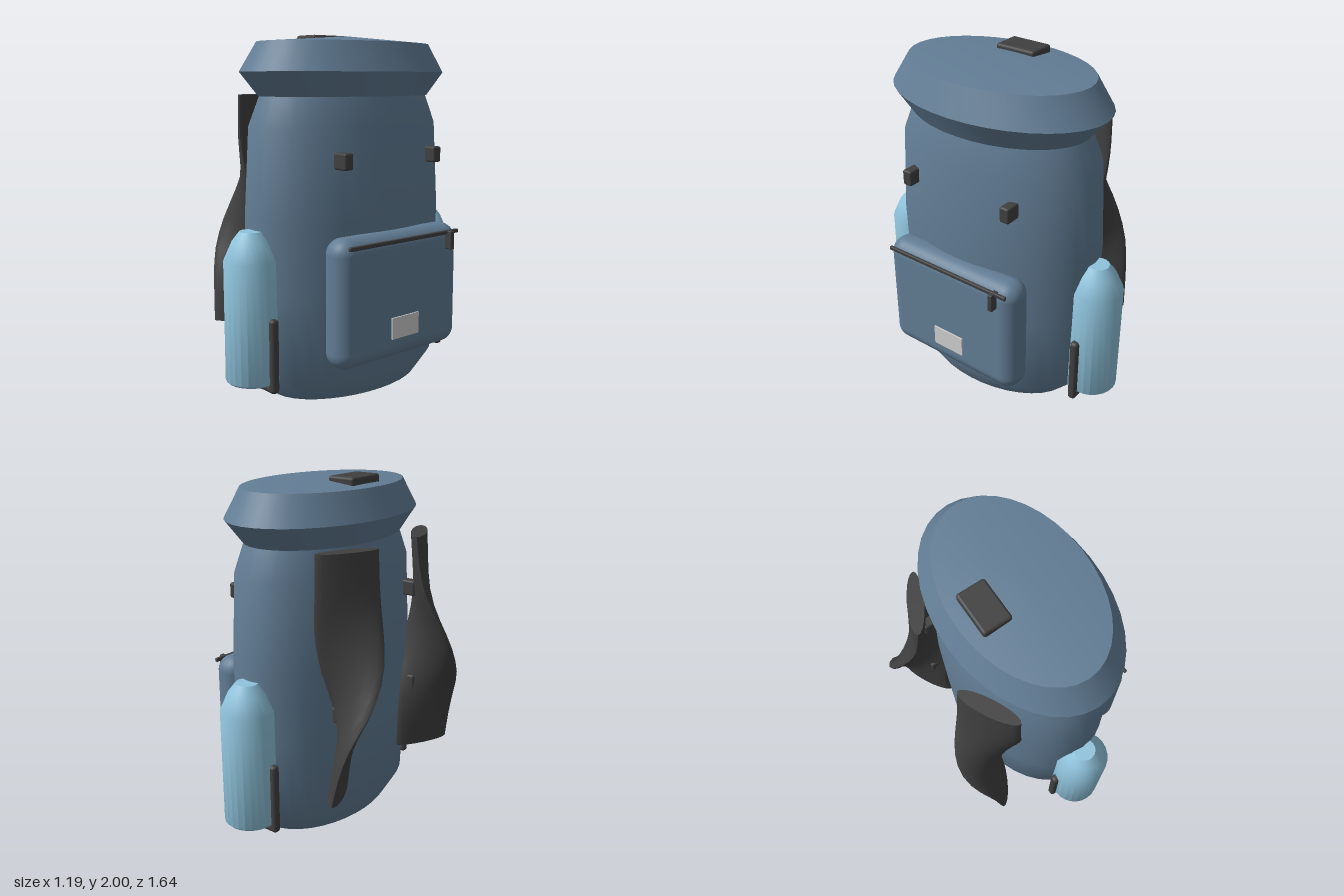
import * as THREE from 'three';
import { toCreasedNormals } from 'three/addons/utils/BufferGeometryUtils.js';
import { RoundedBoxGeometry } from 'three/addons/geometries/RoundedBoxGeometry.js';

const mat = (name, color) => {
  const m = new THREE.MeshStandardMaterial({ color });
  m.name = name;
  return m;
};

const CX = 0.055; // x of the bag's axis

export function createModel() {
  const model = new THREE.Group();
  model.name = 'backpack';
  const fabric = mat('blue fabric', 0x627d95);
  const bottleBlue = mat('light blue bottle', 0x8fc3dc);
  const dark = mat('dark webbing', 0x404040);
  const pale = mat('pale label', 0xd0d0d0);

  const add = (name, geometry, material, x = 0, y = 0, z = 0) => {
    const mesh = new THREE.Mesh(geometry, material);
    mesh.name = name;
    mesh.position.set(x, y, z);
    model.add(mesh);
    return mesh;
  };

  // Oval turned form: profile gives the z radius, ratio squeezes x
  const turned = (profile, ratio = 1, segments = 36) => {
    const g = new THREE.LatheGeometry(profile.map(([r, y]) => new THREE.Vector2(r, y)), segments);
    g.scale(ratio, 1, 1);
    return toCreasedNormals(g, 0.8);
  };

  // Rounded box given by its lower and upper corners
  const block = (name, material, [x0, y0, z0], [x1, y1, z1], radius, segments = 2) =>
    add(name, new RoundedBoxGeometry(x1 - x0, y1 - y0, z1 - z0, segments, radius), material,
      (x0 + x1) / 2, (y0 + y1) / 2, (z0 + z1) / 2);

  // Main bag and lid
  add('body', turned([[0, 0], [0.5, 0], [0.62, 0.13], [0.642, 0.6], [0.652, 1.0],
    [0.622, 1.5], [0.55, 1.67]], 0.618), fabric, CX);
  add('lid', turned([[0, 1.66], [0.555, 1.66], [0.667, 1.79], [0.562, 1.95], [0, 1.99]], 0.652), fabric, CX);
  block('lidBuckle', dark, [-0.235, 1.945, -0.125], [-0.07, 2.0, 0.125], 0.015);

  // Large pocket with zip and label
  block('pocket', fabric, [0.355, 0.23, -0.453], [0.548, 0.937, 0.453], 0.09, 5);
  block('zip', dark, [0.543, 0.884, -0.415], [0.563, 0.907, 0.415], 0.006);
  block('zipPull', dark, [0.53, 0.8, -0.35], [0.59, 0.905, -0.32], 0.006);
  add('label', new THREE.BoxGeometry(0.009, 0.12, 0.205), pale, 0.5515, 0.415, 0);

  // Twisted shoulder strap: sections run from bottom to top
  const sections = [
    // y, centre x, centre z, turn in degrees
    [0.335, -0.37, -0.425, 243],
    [0.66, -0.405, -0.4, 228],
    [1.0, -0.422, -0.38, 172],
    [1.34, -0.382, -0.355, 129],
    [1.665, -0.362, -0.34, 118],
  ];
  const centre = new THREE.CatmullRomCurve3(sections.map(([y, x, z]) => new THREE.Vector3(x, y, z)));
  const turn = new THREE.SplineCurve(sections.map(([y, , , a]) => new THREE.Vector2(y, a)));
  const strap = (side) => {
    const g = new THREE.CylinderGeometry(1, 1, 1, 20, 16);
    const p = g.attributes.position;
    for (let i = 0; i < p.count; i++) {
      const t = p.getY(i) + 0.5;
      const c = centre.getPoint(t);
      const a = THREE.MathUtils.degToRad(turn.getPoint(t).y);
      const u = p.getX(i) * 0.18, v = p.getZ(i) * 0.045;
      const cos = Math.cos(a), sin = Math.sin(a) * side;
      p.setXYZ(i, c.x + u * cos - v * sin, c.y, c.z * side + u * sin + v * cos);
    }
    return toCreasedNormals(g, 0.9);
  };

  // Paired parts on both sides
  for (const s of [-1, 1]) {
    const tag = s > 0 ? 'Front' : 'Back';
    add('bottle' + tag, turned([[0, 0.13], [0.138, 0.13], [0.15, 0.142], [0.15, 0.8],
      [0.105, 0.9], [0.063, 0.955], [0, 0.955]], 1, 24), bottleBlue, CX, 0, s * 0.67);

    // Bottle holder: two posts joined by a bar below
    const z0 = s * 0.645 - 0.025, z1 = s * 0.645 + 0.025;
    for (const x of [-0.1, 0.21]) {
      block('holderPost' + tag, dark, [x - 0.025, 0.09, z0], [x + 0.025, 0.5, z1], 0.02, 3);
    }
    block('holderBar' + tag, dark, [-0.125, 0.09, z0], [0.235, 0.135, z1], 0.02, 3);

    // Strap anchors and attachment loops
    const a0 = s * 0.335 - 0.03, a1 = s * 0.335 + 0.03;
    block('loop' + tag, dark, [0.37, 1.285, a0], [0.465, 1.375, a1], 0.012);
    block('upperAnchor' + tag, dark, [-0.36, 1.285, a0], [-0.265, 1.375, a1], 0.012);
    block('lowerAnchor' + tag, dark, [-0.375, 0.705, a0], [-0.28, 0.795, a1], 0.012);

    add('shoulderStrap' + tag, strap(-s), dark);
  }

  return model;
}
